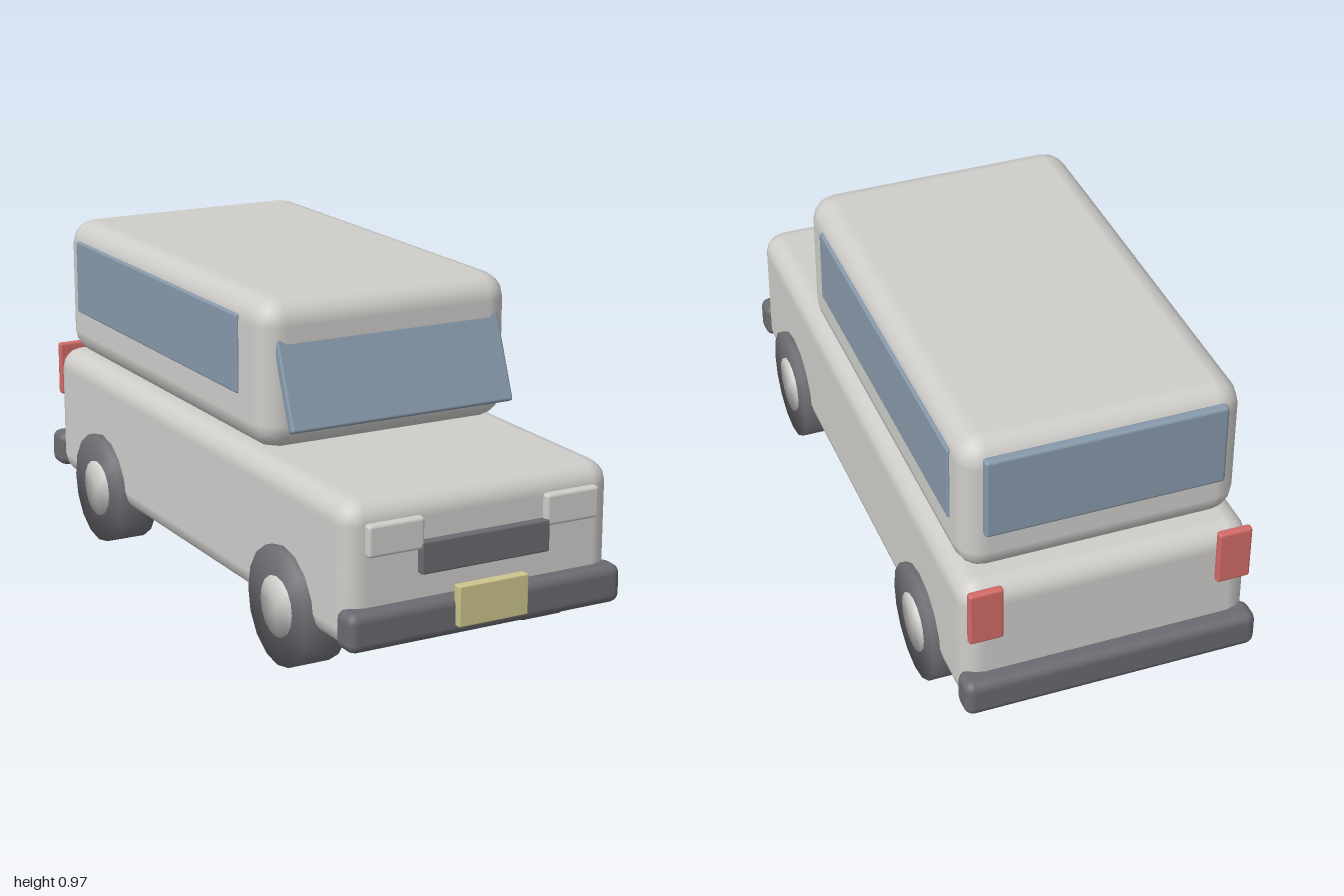
import * as THREE from 'three';
import { RoundedBoxGeometry } from 'three/addons/geometries/RoundedBoxGeometry.js';
import { mergeVertices } from 'three/addons/utils/BufferGeometryUtils.js';

const material = (name, color) => {
  const m = new THREE.MeshStandardMaterial({ color });
  m.name = name;
  return m;
};

export function createModel() {
  const paint = material('body paint', 0xcecdca);
  const glass = material('window glass', 0x8799aa);
  const rubber = material('dark trim', 0x6b6a70);
  const plateYellow = material('plate yellow', 0xcdc58c);
  const lampRed = material('lamp red', 0xd26a66);

  const car = new THREE.Group();
  car.name = 'car';

  // Rounded block given by its min and max corners
  function block(name, mat, [x0, y0, z0], [x1, y1, z1], radius, segments = 2) {
    const geo = new RoundedBoxGeometry(x1 - x0, y1 - y0, z1 - z0, segments, radius);
    const mesh = new THREE.Mesh(geo, mat);
    mesh.name = name;
    mesh.position.set((x0 + x1) / 2, (y0 + y1) / 2, (z0 + z1) / 2);
    car.add(mesh);
    return mesh;
  }

  // Cylinder along x with shared, softly shaded vertices
  function disc(name, mat, radius, width, sides) {
    let geo = new THREE.CylinderGeometry(radius, radius, width, sides);
    geo.deleteAttribute('uv');
    geo.deleteAttribute('normal');
    geo = mergeVertices(geo);
    geo.computeVertexNormals();
    geo.rotateZ(Math.PI / 2);
    const mesh = new THREE.Mesh(geo, mat);
    mesh.name = name;
    return mesh;
  }

  // Lower body and cabin
  block('body', paint, [-0.42, 0.135, -0.95], [0.42, 0.548, 0.937], 0.065);
  block('cabin', paint, [-0.4, 0.548, -0.895], [0.4, 0.975, 0.447], 0.075);

  // Windscreen, leaning back into the cabin
  const screen = block('windscreen', glass, [-0.355, 0.613, 0.455], [0.355, 0.903, 0.483], 0.008);
  screen.rotation.x = -0.37;

  // Rear window
  block('rearWindow', glass, [-0.342, 0.69, -0.915], [0.342, 0.938, -0.885], 0.01);

  // Bumpers, grille and number plate
  block('frontBumper', rubber, [-0.428, 0.15, 0.893], [0.428, 0.26, 0.98], 0.027);
  block('rearBumper', rubber, [-0.428, 0.15, -1], [0.428, 0.26, -0.913], 0.027);
  block('grille', rubber, [-0.2, 0.33, 0.925], [0.2, 0.421, 0.96], 0.006);
  block('numberPlate', plateYellow, [-0.108, 0.18, 0.97], [0.108, 0.295, 1], 0.004);

  // Paired parts
  for (const side of [-1, 1]) {
    const label = side > 0 ? 'left' : 'right';
    const pair = (name, mat, [x0, y0, z0], [x1, y1, z1], r) =>
      block(label + name, mat,
        [side > 0 ? x0 : -x1, y0, z0], [side > 0 ? x1 : -x0, y1, z1], r);

    pair('SideWindow', glass, [0.38, 0.69, -0.8], [0.407, 0.915, 0.302], 0.006);
    pair('Headlight', paint, [0.19, 0.4, 0.925], [0.36, 0.49, 0.957], 0.01);
    pair('TailLight', lampRed, [0.31, 0.385, -0.97], [0.408, 0.553, -0.945], 0.008);

    // Wheels with hubs showing on both faces
    for (const end of [-1, 1]) {
      const wheel = new THREE.Group();
      wheel.name = label + (end > 0 ? 'FrontWheel' : 'RearWheel');
      wheel.add(disc('tyre', rubber, 0.17, 0.125, 16));
      wheel.add(disc('hub', paint, 0.086, 0.136, 16));
      wheel.position.set(side * 0.378, 0.17, end * 0.6);
      car.add(wheel);
    }
  }

  return car;
}
